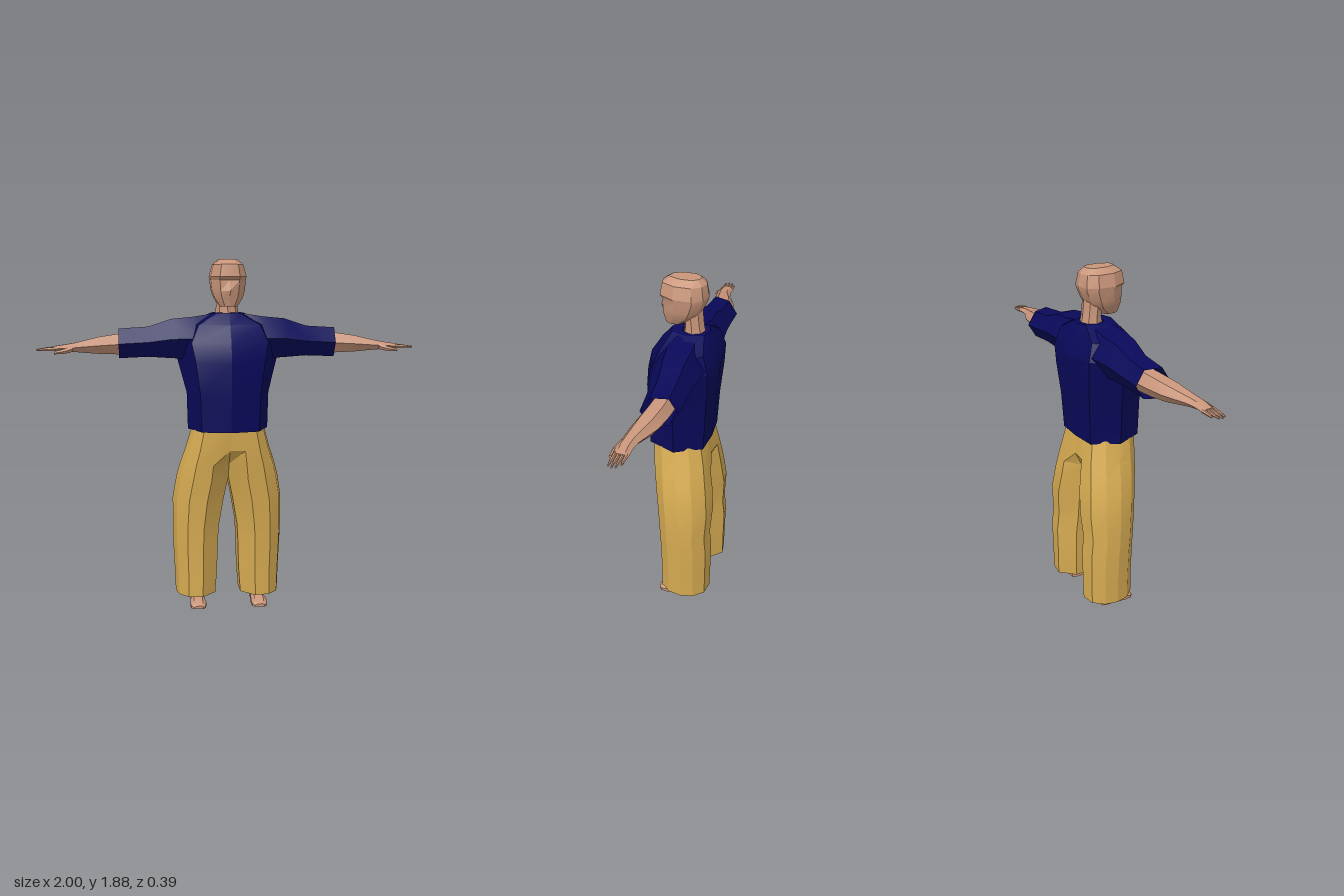
import * as THREE from 'three';
import { toCreasedNormals } from 'three/addons/utils/BufferGeometryUtils.js';

const material = (name, color) =>
  new THREE.MeshStandardMaterial({ name, color, side: THREE.DoubleSide });

// Skin a list of closed rings of [x, y, z]; side = -1 mirrors the part across x.
function loft(name, mat, rings, { side = 1, caps = false } = {}) {
  const n = rings[0].length, pos = [], idx = [];
  for (const ring of rings) {
    const pts = side < 0 ? [...ring].reverse() : ring;
    for (const [x, y, z] of pts) pos.push(x * side, y, z);
  }
  for (let r = 0; r < rings.length - 1; r++) {
    for (let i = 0; i < n; i++) {
      const j = (i + 1) % n, a = r * n, b = a + n;
      idx.push(a + i, a + j, b + j, a + i, b + j, b + i);
    }
  }
  if (caps) {
    const last = (rings.length - 1) * n;
    for (let i = 1; i < n - 1; i++) {
      idx.push(0, i + 1, i, last, last + i, last + i + 1);
    }
  }
  const geo = new THREE.BufferGeometry();
  geo.setAttribute('position', new THREE.Float32BufferAttribute(pos, 3));
  geo.setIndex(idx);
  const mesh = new THREE.Mesh(toCreasedNormals(geo, 0.4), mat);
  mesh.name = name;
  return mesh;
}

// Complete a front-to-back half outline with its mirror image.
const symmetric = (half) =>
  [...half, ...half.slice(1, -1).reverse().map(([x, y, z]) => [-x, y, z])];

// Six-sided ring across x: bottom/top y, front/back z, slant pulls the back inward.
function armRing([x, y0, y1, zf, zb, slant = 0]) {
  const h = y1 - y0, m = y0 + h * 0.5, d = zf - zb;
  return [
    [x, m, zf], [x, y0, zf - d * 0.28], [x - slant, y0 + h * 0.04, zb + d * 0.25],
    [x - slant, m, zb], [x - slant, y1 - h * 0.04, zb + d * 0.25], [x, y1, zf - d * 0.28],
  ];
}

export function createModel() {
  const model = new THREE.Group();
  model.name = 'figure';
  const skin = material('skin', 0xc8957a);
  const navy = material('navy cloth', 0x09095a);
  const tan = material('tan cloth', 0xd6ab52);

  // Head: y, front z, back z, half width, forward push of the centre line
  const headRings = [
    [1.635, 0.09, 0.0, 0.045, 0.006],
    [1.68, 0.098, -0.07, 0.074, 0.01],
    [1.715, 0.1, -0.095, 0.086, 0.023],
    [1.77, 0.098, -0.12, 0.092, 0.005],
    [1.787, 0.114, -0.124, 0.095, 0.008],
    [1.85, 0.104, -0.112, 0.078, 0.008],
    [1.878, 0.066, -0.085, 0.045, 0.006],
  ].map(([y, zf, zb, w, push]) => {
    const d = zf - zb;
    return symmetric([
      [0, y, zf + push], [w * 0.55, y, zf], [w, y, zf - d * 0.32],
      [w, y, zb + d * 0.28], [w * 0.6, y, zb + d * 0.07], [0, y, zb],
    ]);
  });
  model.add(loft('head', skin, headRings, { caps: true }));

  // Neck
  const neckRings = [[1.56, 0.01, -0.115, 0.066], [1.63, 0, -0.1, 0.058], [1.72, 0.01, -0.092, 0.06]]
    .map(([y, zf, zb, w]) => symmetric([
      [0, y, zf], [w * 0.7, y, zf - 0.015], [w, y, (zf + zb) / 2], [w * 0.7, y, zb + 0.015], [0, y, zb],
    ]));
  model.add(loft('neck', skin, neckRings));

  // Shirt body: y, front z, front corner x/z, side x/z, back corner x/z, back z
  const shirtRings = [
    [0.985, 0.18, 0.15, 0.145, 0.215, 0.0, 0.14, -0.14, -0.15],
    [1.18, 0.19, 0.158, 0.147, 0.22, 0.0, 0.15, -0.15, -0.165],
    [1.35, 0.2, 0.18, 0.145, 0.265, -0.02, 0.17, -0.165, -0.182],
    [1.45, 0.178, 0.2, 0.12, 0.28, -0.04, 0.18, -0.168, -0.19],
    [1.54, 0.12, 0.16, 0.085, 0.24, -0.045, 0.16, -0.14, -0.162],
    [1.6, 0.068, 0.06, 0.05, 0.085, -0.03, 0.06, -0.115, -0.13],
  ].map(([y, zf, fx, fz, sx, sz, bx, bz, zb]) =>
    symmetric([[0, y, zf], [fx, y, fz], [sx, y, sz], [bx, y, bz], [0, y, zb]]));
  model.add(loft('shirtBody', navy, shirtRings));
  // Collar top, a narrow band closing in on the neck
  const collar = shirtRings[5];
  model.add(loft('collar', navy, [collar, collar.map(([x, y, z]) => [x * 0.6, y, -0.045 + (z + 0.045) * 0.5])]));

  for (const side of [1, -1]) {
    const tag = side > 0 ? 'left' : 'right';
    const add = (name, mat, rings, caps) => model.add(loft(tag + name, mat, rings, { side, caps }));

    // Sleeve, open at the cuff
    add('Sleeve', navy, [
      [0.08, 1.4, 1.597, 0.07, -0.13],
      [0.18, 1.36, 1.582, 0.11, -0.155],
      [0.3, 1.365, 1.57, 0.085, -0.143],
      [0.42, 1.372, 1.53, 0.06, -0.135],
      [0.575, 1.365, 1.52, 0.045, -0.133, 0.025],
    ].map(armRing));

    // Forearm and palm
    add('Arm', skin, [
      [0.42, 1.38, 1.5, 0.015, -0.11],
      [0.58, 1.385, 1.492, 0.025, -0.1],
      [0.68, 1.39, 1.478, 0.042, -0.082],
      [0.8, 1.402, 1.45, 0.052, -0.03],
      [0.85, 1.406, 1.442, 0.058, -0.022],
      [0.915, 1.408, 1.432, 0.052, -0.022],
    ].map(armRing), true);

    // Four fingers and a thumb
    [0.99, 1.0, 0.995, 0.97].forEach((tip, i) => {
      const z = 0.043 - i * 0.018;
      add('Finger' + (i + 1), skin, [
        [0.9, 1.41, 1.43, z + 0.009, z - 0.009],
        [0.95, 1.411, 1.426, z + 0.008, z - 0.008],
        [tip, 1.411, 1.419, z + 0.004, z - 0.004],
      ].map(armRing), true);
    });
    add('Thumb', skin, [
      [0.81, 1.405, 1.435, 0.058, 0.025],
      [0.85, 1.397, 1.422, 0.073, 0.045],
      [0.905, 1.394, 1.408, 0.073, 0.058],
    ].map(armRing), true);

    // Trouser half: y, inner x, outer x, front z, back z, inner depth
    add('Trouser', tan, [
      [0.062, 0.07, 0.285, 0.08, -0.19, 0.45],
      [0.2, 0.06, 0.29, 0.08, -0.192, 0.45],
      [0.35, 0.056, 0.297, 0.083, -0.195, 0.45],
      [0.45, 0.05, 0.299, 0.088, -0.185, 0.45],
      [0.6, 0.025, 0.298, 0.1, -0.195, 0.45],
      [0.72, 0.0, 0.278, 0.115, -0.183, 0.45],
      [0.8, 0.0, 0.256, 0.125, -0.172, 0.6],
      [0.88, 0.0, 0.228, 0.134, -0.16, 0.93],
      [1.0, 0.0, 0.194, 0.14, -0.136, 1],
    ].map(([y, xi, xo, zf, zb, k]) => {
      const c = (zf + zb) / 2, h = (zf - zb) / 2;
      return [[0, k], [0.35, 1], [0.7, 0.92], [0.93, 0.52], [1, 0],
        [0.93, -0.52], [0.7, -0.92], [0.35, -1], [0, -k]]
        .map(([u, w]) => [xi + (xo - xi) * u, y, c + h * w]);
    }));

    // Ankle and shin inside the trouser leg
    add('Shin', skin, [[0.03, 0.034, 0.04], [0.1, 0.034, 0.036], [0.3, 0.05, 0.055]]
      .map(([y, rx, rz]) => Array.from({ length: 6 }, (_, i) => {
        const a = i * Math.PI / 3;
        return [0.168 + rx * Math.sin(a), y, -0.055 + rz * Math.cos(a)];
      })));

    // Foot from heel to toe: z, half width, height
    add('Foot', skin, [
      [-0.1, 0.025, 0.045], [-0.075, 0.034, 0.06], [-0.02, 0.036, 0.058],
      [0.045, 0.044, 0.036], [0.08, 0.04, 0.026], [0.095, 0.025, 0.016],
    ].map(([z, w, h]) => [
      [0.168 + w, 0, z], [0.168 + w, h * 0.55, z], [0.168 + w * 0.55, h, z],
      [0.168 - w * 0.55, h, z], [0.168 - w, h * 0.55, z], [0.168 - w, 0, z],
    ]), true);
  }
  return model;
}
